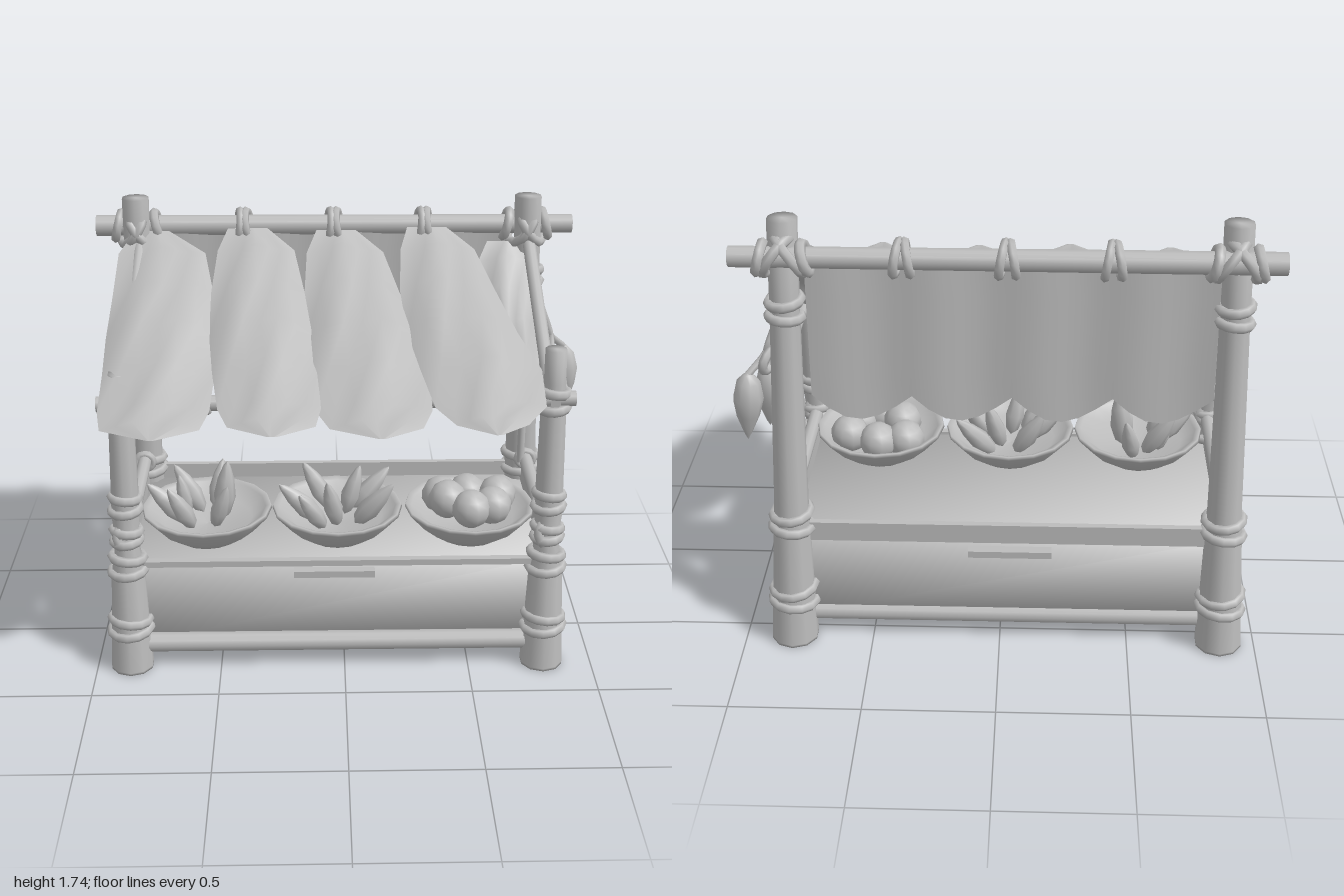
import * as THREE from 'three';
import { mergeVertices } from 'three/addons/utils/BufferGeometryUtils.js';

const clay = new THREE.MeshStandardMaterial({ color: 0xbcbcbc, side: THREE.DoubleSide });
clay.name = 'plain grey';
const V = (x, y, z) => new THREE.Vector3(x, y, z);
const UP = V(0, 1, 0);
const curve2 = pts => pts.map(p => new THREE.Vector2(...p));

export function createModel() {
  const model = new THREE.Group();
  model.name = 'marketStall';

  const add = (name, geo, parent = model) => {
    const m = new THREE.Mesh(geo, clay);
    m.name = name;
    parent.add(m);
    return m;
  };
  // Straight round pole between two points
  const rod = (name, a, b, r0, r1 = r0) => {
    const d = b.clone().sub(a);
    const m = add(name, new THREE.CylinderGeometry(r1, r0, d.length(), 10));
    m.position.copy(a).addScaledVector(d, 0.5);
    m.quaternion.setFromUnitVectors(UP, d.normalize());
  };
  // Rope ring around an axis
  const ring = (name, p, axis, R, t = 0.02) => {
    const m = add(name, new THREE.TorusGeometry(R, t, 6, 12));
    m.position.copy(p);
    m.quaternion.setFromUnitVectors(V(0, 0, 1), axis.clone().normalize());
  };

  // Leaning posts with flared foot and rope wraps
  const post = (name, base, top, profile, wraps) => {
    const at = y => base.clone().lerp(top, y / top.y);
    const pts = curve2([[0, 0], ...profile, [profile.at(-1)[0], top.y], [0, top.y]]);
    const shear = new THREE.Matrix4().set(
      1, (top.x - base.x) / top.y, 0, base.x, 0, 1, 0, 0,
      0, (top.z - base.z) / top.y, 1, base.z, 0, 0, 0, 1);
    add(name, new THREE.LatheGeometry(pts, 10).applyMatrix4(shear));
    wraps.forEach(([y, R], i) =>
      ring('postRope', at(y), V(i % 2 ? 0.1 : -0.08, 1, i % 2 ? -0.08 : 0.06), R));
  };
  const frontProfile = [[0.086, 0], [0.086, 0.01], [0.068, 0.42], [0.045, 0.56], [0.056, 0.66], [0.05, 1.05], [0.042, 1.2]];
  const backProfile = [[0.092, 0], [0.092, 0.01], [0.072, 0.5], [0.066, 0.6], [0.055, 1.4]];
  const frontWraps = [[0.17, 0.078], [0.215, 0.074], [0.43, 0.066], [0.485, 0.062], [0.56, 0.052], [0.6, 0.052], [0.69, 0.054], [0.74, 0.052], [1.1, 0.052], [1.16, 0.052]];
  const backWraps = [[0.17, 0.083], [0.23, 0.08], [0.5, 0.073], [0.56, 0.07], [1.37, 0.058], [1.43, 0.058]];
  post('frontPostRight', V(-0.86, 0, 0.28), V(-0.85, 1.25, 0.205), frontProfile, frontWraps);
  post('frontPostLeft', V(0.8, 0, 0.28), V(0.8, 1.33, 0.2), frontProfile, frontWraps);
  post('backPostRight', V(-0.86, 0, -0.56), V(-0.83, 1.74, -0.46), backProfile, backWraps);
  post('backPostLeft', V(0.81, 0, -0.56), V(0.76, 1.74, -0.46), backProfile, backWraps);

  // Roof poles and side braces
  rod('ridgePole', V(-1, 1.61, -0.51), V(0.95, 1.61, -0.505), 0.042, 0.038);
  rod('eavePole', V(-0.94, 1.13, 0.23), V(0.88, 1.14, 0.23), 0.03);
  rod('thinUpright', V(0.775, 0.58, -0.39), V(0.77, 1.42, -0.38), 0.016);
  [-0.85, 0.8].forEach(x => {
    rod('sidePole', V(x, 1.13, 0.26), V(x, 1.15, -0.5), 0.02);
    rod('rafter', V(x * 0.98, 1.15, 0.24), V(x * 0.96, 1.57, -0.47), 0.026);
    rod('bottomSidePole', V(x, 0.1, 0.27), V(x, 0.1, -0.55), 0.04);
    rod('counterSidePole', V(x, 0.575, 0.26), V(x, 0.585, -0.53), 0.028);
    ring('braceRope', V(x, 1.14, 0.2), V(0.4, 0.2, 1), 0.05);
    ring('braceRope', V(x, 1.14, -0.4), V(0, 0, 1), 0.03, 0.014);
    ring('counterRope', V(x, 0.58, 0.25), V(1, 0.2, 1), 0.055);
    ring('counterRope', V(x, 0.58, -0.42), V(0, 0, 1), 0.035, 0.016);
  });
  // Crossed ropes where ridge pole meets the posts
  [-0.83, 0.76].forEach(x => [1, -1].forEach(s => {
    ring('ridgeKnot', V(x + s * 0.02, 1.61, -0.49), V(s * 0.8, 0.55, 0.3), 0.08, 0.02);
    ring('ridgeKnot', V(x + s * 0.08, 1.61, -0.51), V(1, s * 0.25, 0), 0.053, 0.02);
  }));
  // Loops tying the leaves
  [-0.4, -0.03, 0.34].forEach(x => [-0.018, 0.02].forEach(o =>
    ring('leafLoop', V(x + o, 1.61, -0.5), V(1, o * 8, o * 6), 0.06, 0.018)));
  [-0.52, -0.2, 0.18, 0.55].forEach(x => ring('eaveLoop', V(x, 1.13, 0.23), V(1, 0.1, 0), 0.032, 0.013));

  // Counter body: softly shaded box, slightly narrower at the top
  const body = new THREE.BoxGeometry(1.63, 1, 1);
  body.deleteAttribute('normal');
  body.deleteAttribute('uv');
  const bp = body.attributes.position;
  for (let i = 0; i < bp.count; i++) {
    const up = bp.getY(i) > 0, front = bp.getZ(i) > 0;
    bp.setXYZ(i, bp.getX(i) - 0.025, up ? 0.455 : 0.09,
      front ? (up ? 0.245 : 0.26) : (up ? -0.525 : -0.545));
  }
  const softBody = mergeVertices(body);
  softBody.computeVertexNormals();
  add('counterBody', softBody);
  rod('bottomFrontPole', V(-0.84, 0.1, 0.27), V(0.8, 0.1, 0.27), 0.04);
  rod('bottomBackPole', V(-0.84, 0.1, -0.525), V(0.8, 0.1, -0.525), 0.04);
  // Raised tray ends and back board, low front rail
  [-0.84, 0.79].forEach(x => {
    const board = new THREE.Shape(curve2([[0.25, 0.45], [0.25, 0.55], [-0.52, 0.56], [-0.52, 0.45]]));
    add('trayEnd', new THREE.ShapeGeometry(board).rotateY(-Math.PI / 2)).position.x = x;
  });
  add('trayBack', new THREE.BoxGeometry(1.62, 0.08, 0.025)).position.set(-0.025, 0.48, -0.53);
  add('trayFront', new THREE.BoxGeometry(1.62, 0.025, 0.03)).position.set(-0.025, 0.455, 0.255);
  [0.265, -0.562].forEach(z => {
    add('handlePlate', new THREE.BoxGeometry(0.32, 0.028, 0.04)).position.set(-0.04, 0.412, z);
  });

  // Bowls with produce
  const bowlPts = curve2([[0, 0.48], [0.13, 0.48], [0.2, 0.53], [0.262, 0.6], [0.258, 0.613], [0.235, 0.605], [0.18, 0.555], [0, 0.53]]);
  const podPts = curve2([[0, 0], [0.03, 0.03], [0.046, 0.1], [0.034, 0.18], [0.014, 0.24], [0, 0.26]]);
  // Each pod: foot x, foot z, lean x, lean z, size
  const podSets = [
    [[-0.07, 0.03, -0.9, 0.1, 0.95], [-0.02, -0.06, -0.6, -0.2, 0.9], [-0.05, 0.08, -0.5, 0.2, 0.85], [0.06, 0, 0.1, 0, 1],
      [0.03, 0.07, 0.3, 0.2, 0.8], [0.02, -0.1, 0.2, -0.3, 0.8], [-0.08, -0.04, -0.2, 0, 0.7]],
    [[-0.06, 0.03, -1, 0.1, 0.95], [-0.02, -0.07, -0.6, -0.2, 0.9], [0, 0.07, -0.2, 0.2, 0.85], [0.03, -0.03, 0.3, -0.1, 0.85],
      [0.07, 0.05, 0.8, 0.2, 0.95], [0.06, -0.08, 0.9, -0.2, 0.9], [-0.05, 0.09, -0.6, 0.3, 0.8]],
  ];
  const fruits = [[-0.09, 0.63, 0.03], [0.09, 0.61, 0.05], [0, 0.6, -0.09], [0.0, 0.62, 0.1], [0.12, 0.61, -0.05], [-0.11, 0.6, -0.07]];
  [-0.55, -0.025, 0.51].forEach((x, k) => {
    const bowl = new THREE.Group();
    bowl.name = 'bowl';
    bowl.position.set(x, 0, 0.06);
    model.add(bowl);
    add('bowlShell', new THREE.LatheGeometry(bowlPts, 16), bowl);
    if (k < 2) podSets[k].forEach(([px, pz, lx, lz, size]) => {
      const m = add('pod', new THREE.LatheGeometry(podPts, 7), bowl);
      m.position.set(px, 0.54, pz - 0.02);
      m.quaternion.setFromUnitVectors(UP, V(lx, 1, lz).normalize());
      m.scale.setScalar(size);
    });
    else fruits.forEach(p => {
      add('roundFruit', new THREE.SphereGeometry(0.078, 10, 7), bowl).position.set(p[0], p[1], p[2] - 0.03);
    });
  });

  // Roof leaves: edges given per row, ridge to tip
  const rowsZ = [-0.46, -0.38, -0.2, 0.0, 0.2, 0.42, 0.53, 0.64];
  const slope = [1.6, 1.55, 1.465, 1.38, 1.285, 1.215, 1.185, 1.165];
  const leaf = (name, left, right, lift, zEnd = 0.64) => {
    const n = 6, rows = rowsZ.length - 1;
    const g = new THREE.PlaneGeometry(1, 1, n, rows);
    const p = g.attributes.position;
    for (let j = 0; j <= rows; j++) for (let i = 0; i <= n; i++) {
      const u = i / n, s = 2 * u - 1;
      const z = -0.46 + (rowsZ[j] + 0.46) * (zEnd + 0.46) / 1.1;
      const mid = Math.sin(Math.PI * j / rows);
      const y = slope[j] + lift - 0.06 * s * s * mid + 0.015 * Math.sin(i * 2.1 + j * 1.7) * mid;
      p.setXYZ(j * (n + 1) + i, left[j] + (right[j] - left[j]) * u, y, z);
    }
    g.computeVertexNormals();
    add(name, g);
  };
  leaf('roofLeaf', [-0.84, -0.9, -0.91, -0.92, -0.915, -0.91, -0.89, -0.71], [-0.7, -0.55, -0.51, -0.5, -0.49, -0.5, -0.53, -0.68], 0);
  leaf('roofLeaf', [-0.46, -0.5, -0.52, -0.52, -0.5, -0.47, -0.43, -0.28], [-0.3, -0.19, -0.15, -0.12, -0.1, -0.09, -0.11, -0.25], 0.01);
  leaf('roofLeaf', [-0.1, -0.14, -0.15, -0.14, -0.13, -0.11, -0.06, 0.11], [0.06, 0.17, 0.23, 0.29, 0.32, 0.32, 0.28, 0.14], 0);
  leaf('roofLeaf', [0.27, 0.24, 0.23, 0.25, 0.29, 0.33, 0.4, 0.53], [0.43, 0.54, 0.61, 0.68, 0.75, 0.74, 0.66, 0.55], 0.01);
  leaf('tornLeaf', [0.6, 0.56, 0.56, 0.6, 0.62, 0.64, 0.66, 0.7], [0.74, 0.79, 0.79, 0.78, 0.77, 0.75, 0.74, 0.71], -0.05, 0.3);

  // Back curtain with scalloped hem
  const curtain = new THREE.PlaneGeometry(1, 1, 24, 4);
  const cp = curtain.attributes.position;
  for (let i = 0; i < cp.count; i++) {
    const u = cp.getX(i) + 0.5, v = 0.5 - cp.getY(i);
    const hem = 1.06 - 0.1 * Math.abs(Math.sin(u * Math.PI * 4));
    cp.setXYZ(i, -0.78 + 1.47 * u, 1.6 + (hem - 1.6) * v, -0.485 - 0.02 * v + 0.01 * Math.sin(u * 25));
  }
  curtain.computeVertexNormals();
  add('backCurtain', curtain);

  // Hanging gourds on a cord
  const gourdPts = curve2([[0, -0.28], [0.015, -0.25], [0.045, -0.17], [0.058, -0.1], [0.045, -0.03], [0.018, 0], [0, 0.01]]);
  [[0.875, 1.08, -0.32, 0.1], [0.935, 1.1, -0.43, 0]].forEach(([x, y, z, tilt]) => {
    const gourd = add('hangingGourd', new THREE.LatheGeometry(gourdPts, 9));
    gourd.position.set(x, y, z);
    gourd.rotation.set(-tilt, 0, 0.08);
    const cord = new THREE.CatmullRomCurve3([V(x, y, z), V(0.87, 1.17, -0.38), V(0.83, 1.28, -0.36), V(0.78, 1.42, -0.42)]);
    add('gourdCord', new THREE.TubeGeometry(cord, 10, 0.014, 6));
  });
  ring('gourdKnot', V(0.86, 1.14, -0.39), V(1, 0.3, 0.4), 0.045, 0.018);

  return model;
}
